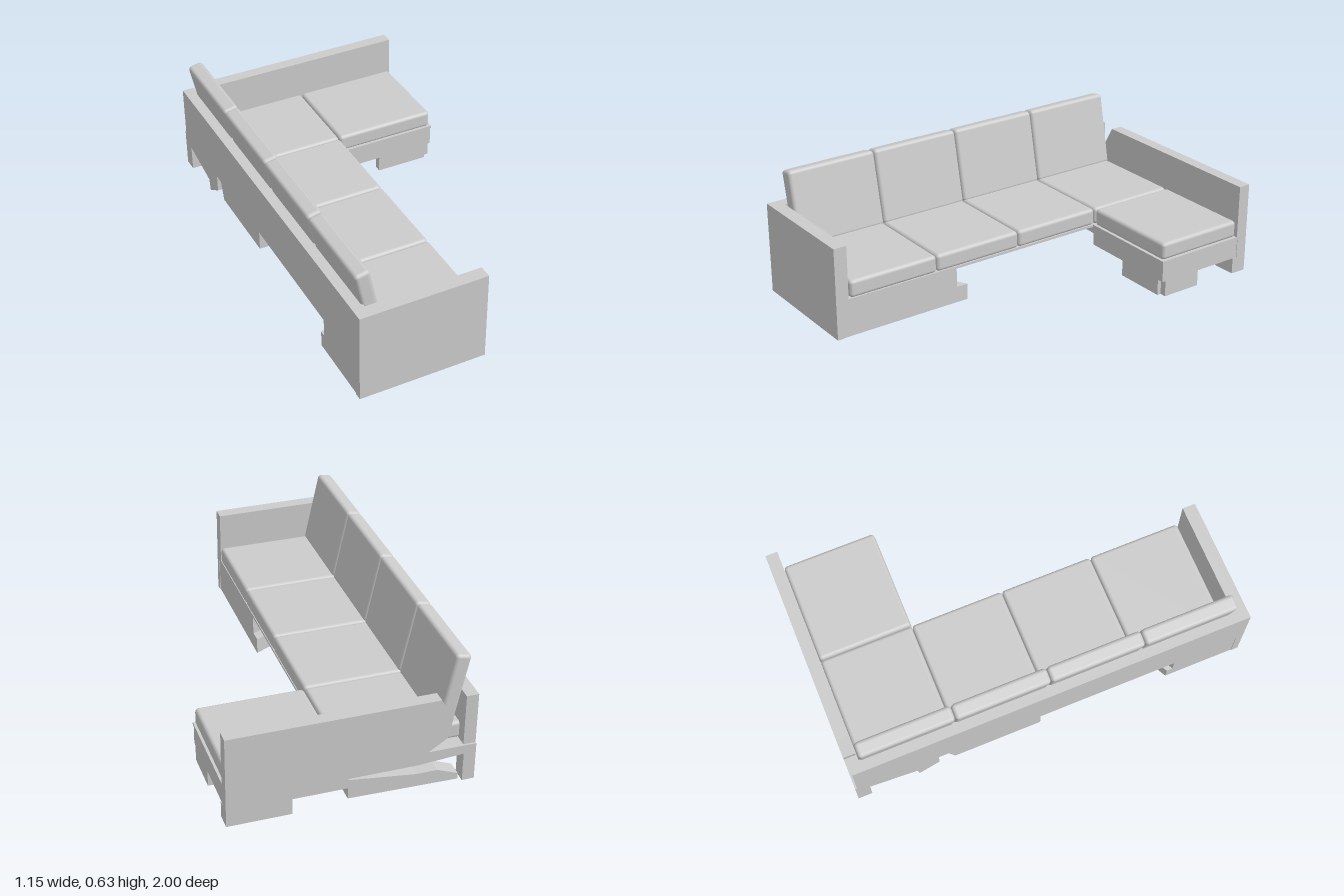
import * as THREE from 'three';
import { RoundedBoxGeometry } from 'three/addons/geometries/RoundedBoxGeometry.js';

const material = new THREE.MeshStandardMaterial({ color: 0xcccccc, side: THREE.DoubleSide });

function extrude(points, depth) {
  const shape = new THREE.Shape(points.map(([a, b]) => new THREE.Vector2(a, b)));
  return new THREE.ExtrudeGeometry(shape, { depth, bevelEnabled: false });
}

export function createModel() {
  const sofa = new THREE.Group();
  sofa.name = 'cornerSofa';

  const add = (name, geometry) => {
    const mesh = new THREE.Mesh(geometry, material);
    mesh.name = name;
    sofa.add(mesh);
    return mesh;
  };
  // Box given by its limits on each axis
  const box = (name, [x0, x1], [y0, y1], [z0, z1]) =>
    add(name, new THREE.BoxGeometry(x1 - x0, y1 - y0, z1 - z0))
      .position.set((x0 + x1) / 2, (y0 + y1) / 2, (z0 + z1) / 2);
  // Outlines: (x, z) raised along y, (z, y) run along x, (x, y) run along z
  const plan = (name, points, y0, y1) =>
    add(name, extrude(points.map(([x, z]) => [x, -z]), y1 - y0).rotateX(-Math.PI / 2).translate(0, y0, 0));
  const side = (name, points, x0, x1) =>
    add(name, extrude(points, x1 - x0).rotateY(-Math.PI / 2).translate(x1, 0, 0));
  const front = (name, points, z0, z1) =>
    add(name, extrude(points, z1 - z0).translate(0, 0, z0));
  const cushion = (name, w, h, d, x, y, z) => {
    const mesh = add(name, new RoundedBoxGeometry(w, h, d, 4, 0.018));
    mesh.position.set(x, y, z);
    return mesh;
  };

  // Seat and back cushions, four along the length
  for (let i = 0; i < 4; i++) {
    const z = -0.704 + i * 0.4655;
    cushion('seatCushion', 0.609, 0.086, 0.464, -0.2555, 0.232, z);
    cushion('backCushion', 0.075, 0.37, 0.464, -0.487, 0.44, z).rotation.z = 0.206;
  }
  cushion('chaiseCushion', 0.514, 0.086, 0.466, 0.31, 0.232, -0.704);

  // Thin L-shaped deck under the cushions
  plan('deck', [[-0.578, -1], [0.575, -1], [0.575, -0.465], [0.047, -0.465], [0.047, 1], [-0.578, 1]], 0.178, 0.19);

  // Back panel with its stepped lower edge
  side('backPanel', [
    [-0.99, 0.445], [0.935, 0.455], [0.935, 0.178], [-0.06, 0.178], [-0.06, 0.08], [-0.5, 0.08],
    [-0.53, 0.17], [-0.58, 0.17], [-0.58, 0.085], [-0.685, 0.02], [-0.695, 0.08], [-0.93, 0.13], [-0.99, 0.17],
  ], -0.578, -0.52);

  // Near arm and the base beneath it, with slanted inner ends
  box('nearArm', [-0.578, 0.047], [0.19, 0.455], [0.935, 1]);
  box('nearArmApron', [-0.578, 0.047], [0, 0.178], [0.965, 1]);
  plan('nearBase', [[-0.575, 0.965], [0.045, 0.965], [0.045, 0.35], [-0.575, 0.64]], 0.08, 0.178);
  plan('nearPlinth', [[-0.575, 0.965], [0.043, 0.965], [0.043, 0.29], [-0.575, 0.61]], 0, 0.08);

  // Far arm with its clipped end
  front('farArm', [
    [0.575, 0.19], [0.575, 0.455], [-0.4, 0.455], [-0.46, 0.35], [-0.44, 0.25], [-0.35, 0.19],
  ], -1, -0.94);

  // Rails, leg and corner post below the far arm
  box('farRail', [0.02, 0.575], [0.08, 0.178], [-1, -0.945]);
  box('farLeg', [0.275, 0.575], [0, 0.08], [-1, -0.92]);
  front('farPlinth', [
    [0.02, 0.02], [0.02, 0.12], [-0.3, 0.08], [-0.4, 0.08], [-0.5, 0.04], [-0.5, 0.01],
  ], -0.995, -0.92);
  front('farStrip', [[0.02, 0.13], [0.02, 0.178], [-0.578, 0.178], [-0.578, 0.15], [-0.3, 0.13]], -1, -0.96);
  box('cornerPost', [-0.578, -0.52], [0, 0.178], [-1, -0.93]);

  // Wedge beam running below the chaise
  side('underBeam', [
    [-0.55, 0.085], [-0.685, 0.02], [-0.695, 0.08], [-0.93, 0.12], [-0.93, 0.15], [-0.55, 0.15],
  ], -0.52, 0.5);

  // Chaise frame and its L-shaped corner leg
  box('chaiseFrontRail', [0.047, 0.54], [0.08, 0.178], [-0.505, -0.47]);
  box('chaiseSideRail', [0.54, 0.572], [0.08, 0.178], [-0.945, -0.47]);
  box('chaiseFrontLeg', [0.275, 0.54], [0, 0.08], [-0.505, -0.47]);
  box('chaiseSideLeg', [0.54, 0.572], [0, 0.08], [-0.695, -0.49]);

  return sofa;
}
